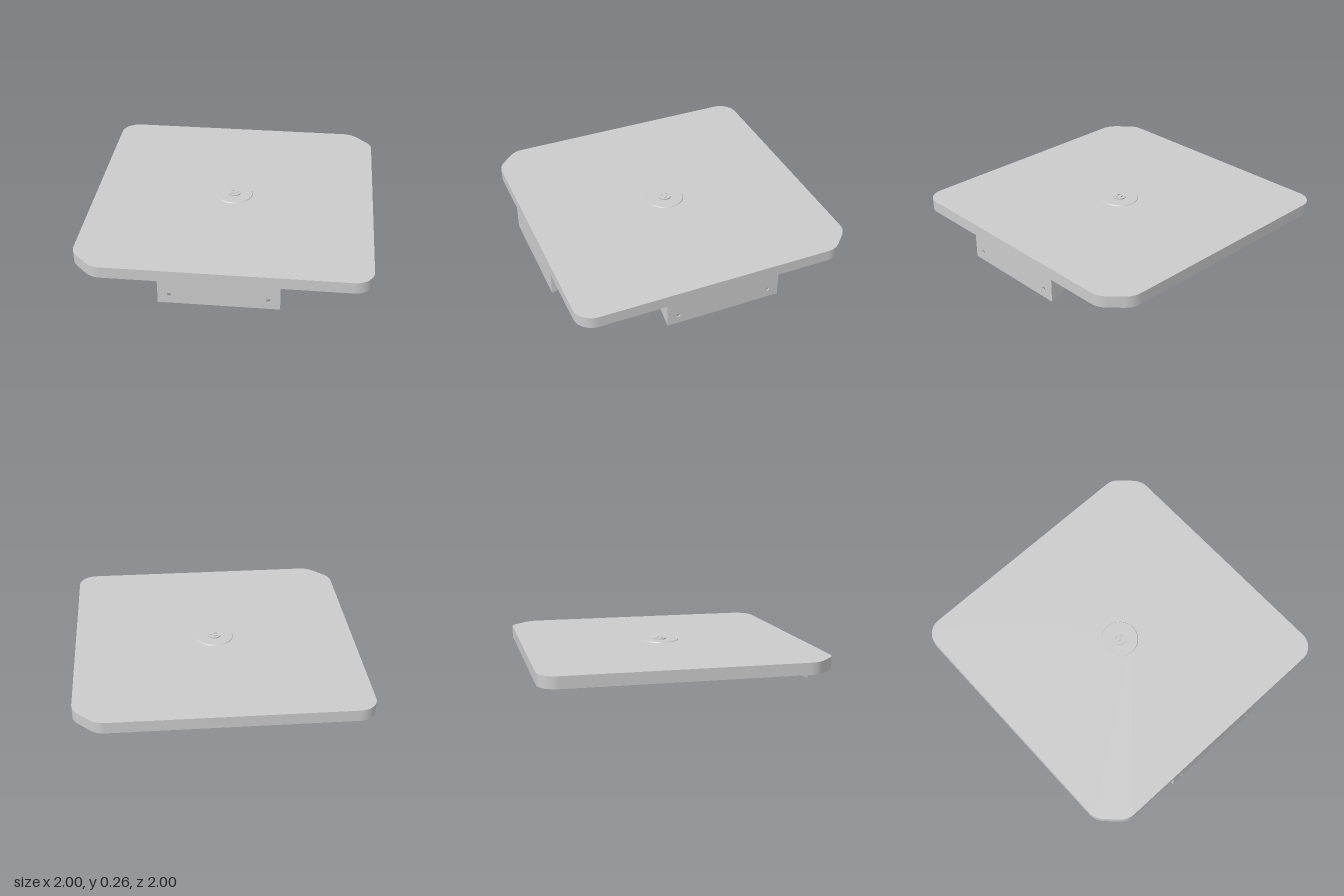
import * as THREE from 'three';
import { toCreasedNormals } from 'three/addons/utils/BufferGeometryUtils.js';

const material = new THREE.MeshStandardMaterial({ color: 0xcccccc });

function mesh(name, geometry) {
  const m = new THREE.Mesh(geometry, material);
  m.name = name;
  return m;
}

function extrude(shape, depth) {
  const g = new THREE.ExtrudeGeometry(shape, { depth, bevelEnabled: false, curveSegments: 20 });
  return toCreasedNormals(g, 0.5);
}

// Lays an (x, z) outline flat, from height top downwards
const slab = (shape, top, depth) => extrude(shape, depth).rotateX(Math.PI / 2).translate(0, top, 0);

const polygon = (points) => new THREE.Shape(points.map(([x, y]) => new THREE.Vector2(x, y)));

function rect(x, y, w, h) {
  return polygon([[x - w / 2, y - h / 2], [x + w / 2, y - h / 2], [x + w / 2, y + h / 2], [x - w / 2, y + h / 2]]);
}

function circle(x, y, r) {
  const s = new THREE.Shape();
  s.absarc(x, y, r, 0, Math.PI * 2);
  return s;
}

// Square top: two rounded corners and two softened chamfers on the other diagonal
function createTop() {
  const s = new THREE.Shape();
  const r = 0.13;
  s.moveTo(-1 + r, -1);
  s.lineTo(0.78, -1);
  s.quadraticCurveTo(0.84, -1, 0.885, -0.955);
  s.lineTo(0.955, -0.885);
  s.quadraticCurveTo(1, -0.84, 1, -0.78);
  s.lineTo(1, 1 - r);
  s.absarc(1 - r, 1 - r, r, 0, Math.PI / 2);
  s.lineTo(-0.78, 1);
  s.quadraticCurveTo(-0.84, 1, -0.885, 0.955);
  s.lineTo(-0.955, 0.885);
  s.quadraticCurveTo(-1, 0.84, -1, 0.78);
  s.lineTo(-1, -1 + r);
  s.absarc(-1 + r, -1 + r, r, Math.PI, Math.PI * 1.5);
  // Cable slots under the cover disc
  for (const z of [-0.04, 0.08]) s.holes.push(rect(-0.02, z, 0.1, 0.018));
  return mesh('tableTop', slab(s, 0.25, 0.082));
}

// Folded bracket: outer wall, mounting flange and two tapered gussets
function createBracket(name) {
  const bracket = new THREE.Group();
  bracket.name = name;
  const half = 0.403, t = 0.01, top = 0.168, inner = 0.675;

  const wall = rect(0, top / 2, half * 2, top);
  for (const x of [-0.325, 0.325]) wall.holes.push(circle(x, 0.065, 0.014));
  bracket.add(mesh('bracketWall', extrude(wall, t).translate(0, 0, 1 - t)));

  const flange = rect(0, (inner + 1 - t) / 2, half * 2, 1 - t - inner);
  for (const [x, z] of [[0, 0.72], [-0.21, 0.95], [0.21, 0.95]]) flange.holes.push(circle(x, z, 0.008));
  bracket.add(mesh('bracketFlange', slab(flange, top, t)));

  const gusset = polygon([[1 - t, 0.004], [1 - t, top - t], [inner, top - t], [inner, 0.125]]);
  for (const x of [-half + t, half]) {
    bracket.add(mesh('bracketGusset', extrude(gusset, t).rotateY(-Math.PI / 2).translate(x, 0, 0)));
  }
  return bracket;
}

// Power socket in a thin cover disc
function createSocket() {
  const socket = new THREE.Group();
  socket.name = 'powerSocket';
  const cover = new THREE.CylinderGeometry(0.131, 0.135, 0.006, 64).translate(0, 0.253, 0);
  socket.add(mesh('coverDisc', toCreasedNormals(cover, 0.5)));

  const face = circle(0, 0, 0.046);
  for (const z of [-0.018, 0.018]) face.holes.push(rect(-0.009, z, 0.026, 0.011));
  face.holes.push(rect(0.025, 0, 0.014, 0.016));
  socket.add(mesh('socketFace', slab(face, 0.264, 0.008)));
  return socket;
}

export function createModel() {
  const model = new THREE.Group();
  model.name = 'table';
  const sideBracket = createBracket('leftBracket');
  sideBracket.rotation.y = Math.PI / 2;
  model.add(createTop(), createBracket('frontBracket'), sideBracket, createSocket());
  return model;
}
